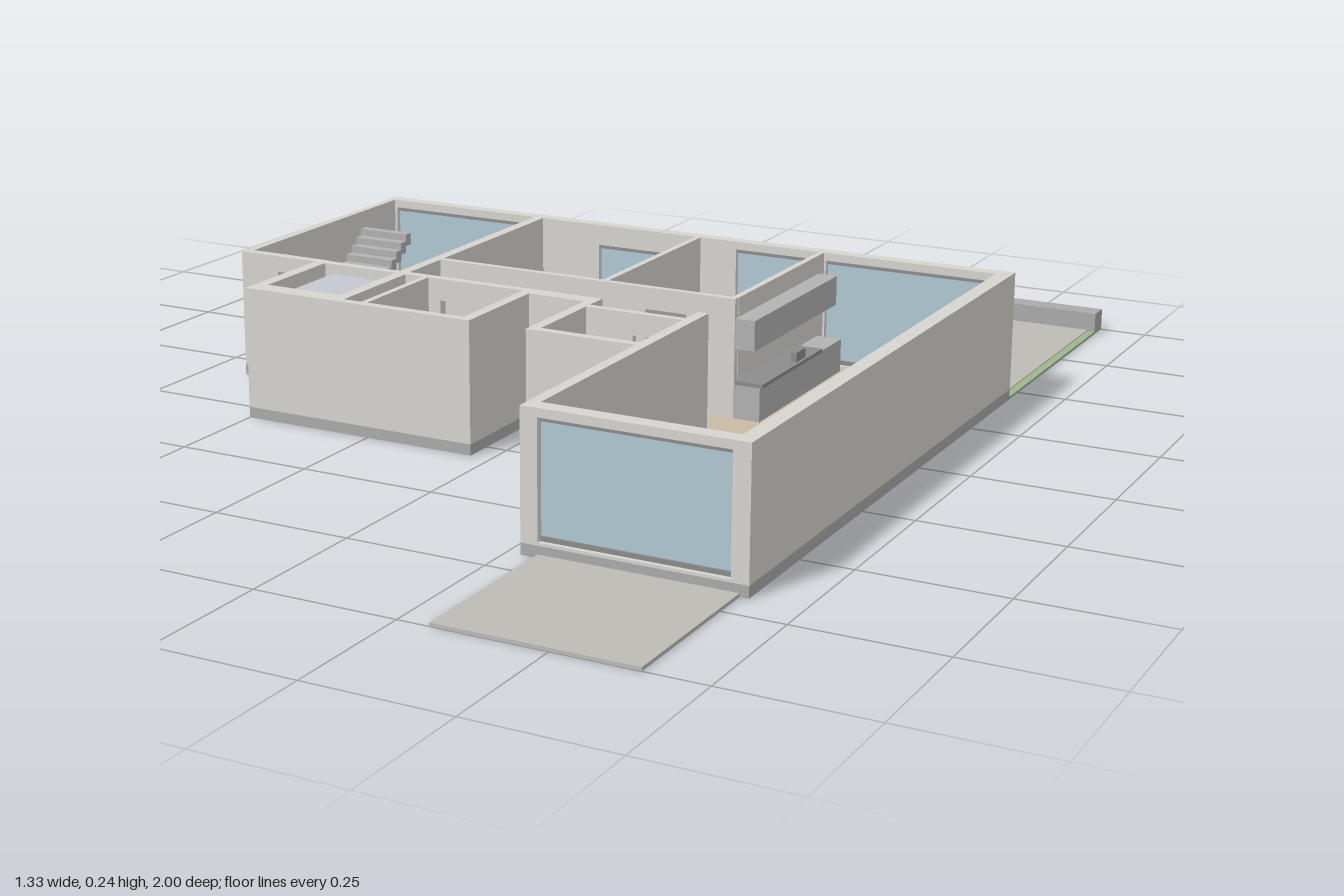
import * as THREE from 'three';

const mat = (color, side = THREE.FrontSide) => new THREE.MeshStandardMaterial({ color, side });

export function createModel() {
  const root = new THREE.Group();
  const M = {
    wall: mat(0xd6d4cf), plinth: mat(0xaaaaaa), grey: mat(0xb2b2b2), dark: mat(0x8c8c8c),
    tan: mat(0xc9baa5), lawn: mat(0x9fb48f), paving: mat(0xbdbbb6), glass: mat(0xb0c8d4), pane: mat(0xc4c8d0),
  };
  const H = 0.24, F = 0.02; // wall top and floor level

  // Axis-aligned box from two corners
  function box(name, m, x0, x1, y0, y1, z0, z1, parent = root) {
    const mesh = new THREE.Mesh(new THREE.BoxGeometry(x1 - x0, y1 - y0, z1 - z0), m);
    mesh.position.set((x0 + x1) / 2, (y0 + y1) / 2, (z0 + z1) / 2);
    mesh.name = name;
    parent.add(mesh);
    return mesh;
  }

  // Flat slab from an (x, z) outline with rectangular holes [x0, x1, z0, z1]
  function slab(name, m, pts, y0, y1, holes = []) {
    const shape = new THREE.Shape(pts.map(([x, z]) => new THREE.Vector2(x, -z)));
    for (const [a, b, c, d] of holes) {
      shape.holes.push(new THREE.Path([[a, c], [b, c], [b, d], [a, d]].map(([x, z]) => new THREE.Vector2(x, -z))));
    }
    const g = new THREE.ExtrudeGeometry(shape, { depth: y1 - y0, bevelEnabled: false });
    g.rotateX(-Math.PI / 2);
    const mesh = new THREE.Mesh(g, m);
    mesh.position.y = y0;
    mesh.name = name;
    root.add(mesh);
  }

  // Wall along its longer side, with openings [from, to, sill, head, glazed]
  function wall(name, x0, x1, z0, z1, openings = []) {
    const g = new THREE.Group();
    g.name = name;
    root.add(g);
    const alongX = x1 - x0 > z1 - z0;
    const part = (n, m, a, b, y0, y1, inset = 0) => {
      if (b - a < 1e-4 || y1 - y0 < 1e-4) return;
      if (alongX) box(n, m, a, b, y0, y1, z0 + inset, z1 - inset, g);
      else box(n, m, x0 + inset, x1 - inset, y0, y1, a, b, g);
    };
    let at = alongX ? x0 : z0;
    const end = alongX ? x1 : z1;
    for (const [a, b, sill, head, glazed] of openings) {
      part('wallPiece', M.wall, at, b > a ? a : at, F, H);
      part('sill', M.wall, a, b, F, sill);
      part('lintel', M.wall, a, b, head, H);
      if (glazed) {
        const inset = (alongX ? z1 - z0 : x1 - x0) * 0.4;
        part('glass', M.glass, a, b, sill, head, inset);
        part('frameBottom', M.dark, a, b, sill, sill + 0.008, inset * 0.7);
        part('frameTop', M.dark, a, b, head - 0.008, head, inset * 0.7);
      }
      at = b;
    }
    part('wallPiece', M.wall, at, end, F, H);
  }

  // Base slab with openings below the light well
  slab('baseSlab', M.plinth, [
    [-0.665, -0.45], [0.66, -0.45], [0.66, 0.685], [0.275, 0.685], [0.275, 0.305], [0.07, 0.305],
    [0.07, 0.1], [-0.04, 0.1], [-0.04, 0.305], [-0.5, 0.305], [-0.5, 0.085], [-0.665, 0.085],
  ], 0, F, [[-0.475, -0.325, 0.09, 0.265], [-0.303, -0.267, 0.09, 0.288]]);

  // Floor finishes
  slab('woodFloor', M.tan, [
    [-0.305, -0.42], [0.63, -0.42], [0.63, 0.655], [0.295, 0.655], [0.295, 0.115],
    [0.09, 0.115], [0.09, 0.07], [-0.14, 0.07], [-0.14, 0.125], [-0.255, 0.125], [-0.255, 0.07], [-0.305, 0.07],
  ], F, F + 0.003);
  box('stairHallFloor', M.grey, -0.65, -0.325, F, F + 0.003, -0.425, 0.065);
  box('bathroomFloor', M.grey, -0.255, -0.06, F, F + 0.002, 0.085, 0.288);
  box('washroomFloor', M.grey, 0.09, 0.275, F, F + 0.003, 0.13, 0.288);

  // Outer walls
  const top = 0.225;
  wall('backWall', -0.665, 0.66, -0.45, -0.425, [
    [-0.645, -0.325, 0.025, top, true], [-0.18, 0.02, 0.09, 0.2, true],
    [0.115, 0.28, 0.025, top, true], [0.3, 0.635, 0.025, top, true],
  ]);
  wall('longSideWall', 0.632, 0.66, -0.425, 0.685);
  wall('livingFrontWall', 0.275, 0.632, 0.655, 0.685, [[0.305, 0.63, 0.025, top, true]]);
  wall('livingInnerSideWall', 0.275, 0.295, 0.07, 0.655);
  wall('stairHallSideWall', -0.665, -0.65, -0.425, 0.085, [[-0.04, 0.045, F, 0.21, true]]);
  wall('stairHallFrontWall', -0.65, -0.48, 0.067, 0.085, [[-0.585, -0.5, F, 0.21]]);
  wall('bathFrontWall', -0.5, -0.04, 0.288, 0.305);
  wall('lightWellSideWall', -0.5, -0.477, 0.085, 0.288);
  wall('bathSideWall', -0.06, -0.04, 0.085, 0.288);
  wall('washroomSideWall', 0.07, 0.09, 0.07, 0.288);
  wall('washroomFrontWall', 0.07, 0.275, 0.288, 0.305);

  // Inner walls
  wall('hallFrontWall', -0.48, 0.07, 0.07, 0.087, [[-0.23, -0.15, F, 0.2]]);
  box('entryWall', M.wall, -0.04, 0.07, F, H, 0.087, 0.1);
  wall('stairHallInnerWall', -0.325, -0.305, -0.425, 0.07, [[-0.025, 0.055, F, 0.2]]);
  wall('bedroomHallWall', -0.305, 0.295, -0.05, -0.037, [[-0.07, 0.01, F, 0.2], [0.12, 0.2, F, 0.2]]);
  wall('bedroomDivider', 0.028, 0.04, -0.425, -0.05);
  wall('kitchenWall', 0.284, 0.296, -0.425, -0.05);
  wall('lightWellInnerWall', -0.325, -0.303, 0.087, 0.288);
  wall('bathInnerWall', -0.267, -0.255, 0.087, 0.288);
  wall('washroomInnerWall', 0.09, 0.275, 0.116, 0.13, [[0.18, 0.255, F, 0.2]]);

  // Light well roof pane
  box('roofPane', M.pane, -0.46, -0.33, 0.215, 0.222, 0.09, 0.25);
  box('lightWellLedge', M.wall, -0.477, -0.325, 0.2, H, 0.268, 0.288);

  // Staircase rising towards the back
  const stairs = new THREE.Group();
  stairs.name = 'staircase';
  root.add(stairs);
  const n = 14, run = 0.25 / n, rise = 0.19 / n;
  for (let i = 0; i < n; i++) {
    const z = -0.05 - i * run, y = F + (i + 1) * rise;
    box('step', M.grey, -0.64, -0.535, Math.max(F, y - rise * 1.7), y, z - run, z, stairs);
  }

  // Kitchen units
  box('kitchenCounter', M.grey, 0.296, 0.345, F, 0.085, -0.4, -0.037);
  box('kitchenWorktop', M.dark, 0.296, 0.35, 0.085, 0.092, -0.3, -0.037);
  box('upperCabinet', M.grey, 0.296, 0.333, 0.15, 0.205, -0.4, -0.037);
  box('tap', M.dark, 0.334, 0.345, 0.092, 0.11, -0.235, -0.195);

  // Bathroom and washroom fittings
  box('bathtubBase', M.grey, -0.25, -0.1, F, 0.06, 0.22, 0.285);
  for (const z of [0.22, 0.279]) box('bathtubRim', M.grey, -0.25, -0.1, 0.06, 0.07, z, z + 0.006);
  for (const x of [-0.25, -0.106]) box('bathtubRim', M.grey, x, x + 0.006, 0.06, 0.07, 0.22, 0.285);
  box('basin', M.grey, -0.135, -0.1, F, 0.08, 0.105, 0.135);
  box('toilet', M.grey, -0.135, -0.1, F, 0.06, 0.152, 0.2);
  box('washroomToilet', M.grey, 0.12, 0.17, F, 0.06, 0.232, 0.284);
  box('hallCabinet', M.grey, 0.092, 0.148, F, 0.2, 0.07, 0.116);

  // Garden
  box('lawn', M.lawn, -0.32, 0.66, 0, 0.005, -0.96, -0.45);
  box('backTerrace', M.paving, 0.29, 0.645, 0.002, 0.007, -0.957, -0.45);
  box('gardenWall', M.plinth, -0.32, 0.66, 0, 0.042, -1, -0.957);
  box('frontTerrace', M.paving, 0.305, 0.645, 0, 0.006, 0.685, 1);

  return root;
}
